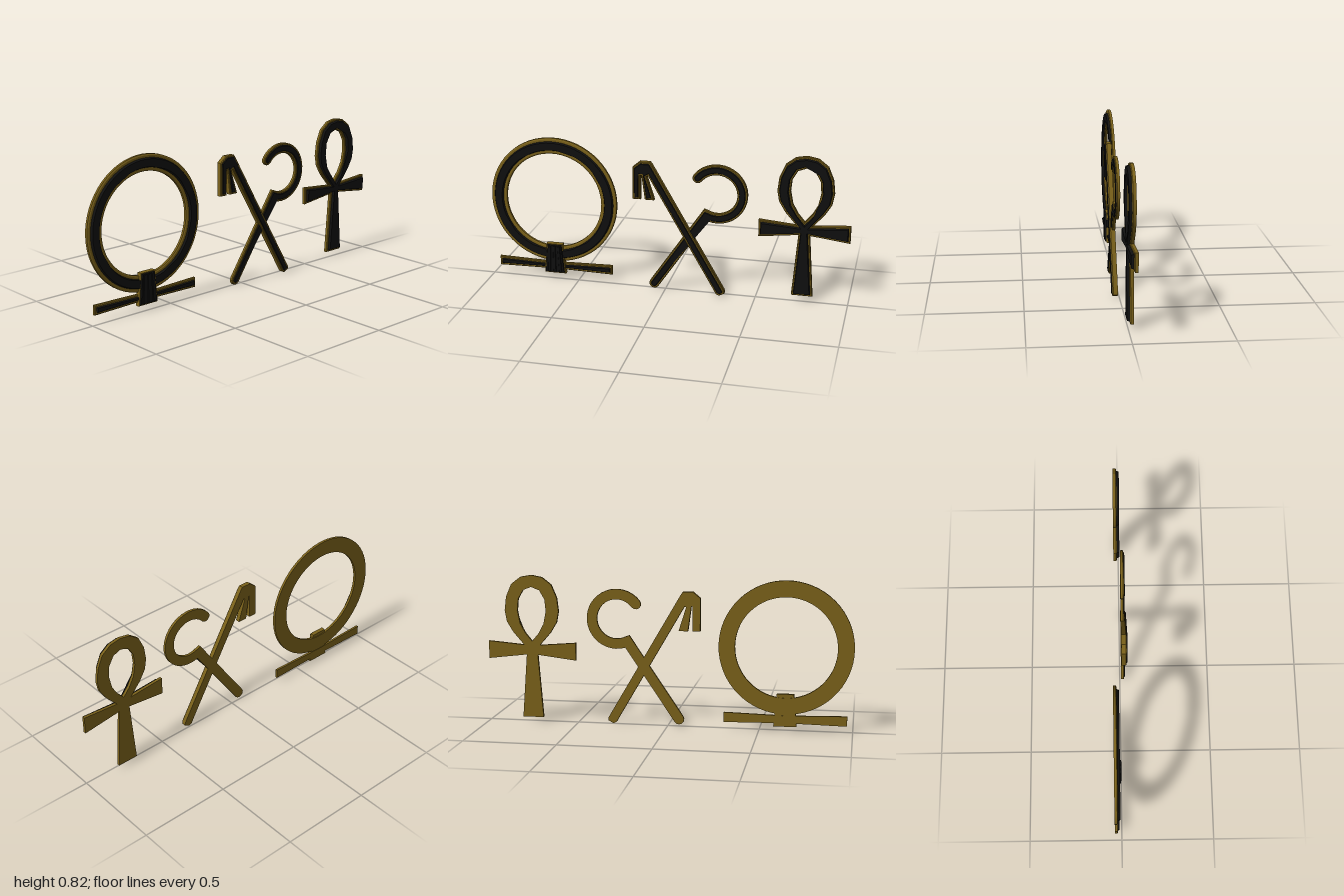
import * as THREE from 'three';
import { toCreasedNormals } from 'three/addons/utils/BufferGeometryUtils.js';

const gold = new THREE.MeshStandardMaterial({ color: 0x7a611a });
const black = new THREE.MeshStandardMaterial({ color: 0x101010 });
const V = (x, y) => new THREE.Vector2(x, y);
const pts = (list) => list.map(([x, y]) => V(x, y));

// Move every edge of a closed outline to its left by d, with limited mitres
function inset(loop, d) {
  const n = loop.length;
  return loop.map((p, i) => {
    const a = p.clone().sub(loop[(i + n - 1) % n]).normalize();
    const b = loop[(i + 1) % n].clone().sub(p).normalize();
    const m = V(-a.y - b.y, a.x + b.x).normalize();
    const c = Math.max(0.5, -m.x * a.y + m.y * a.x);
    return p.clone().addScaledVector(m, d / c);
  });
}

// Solid through layers of [inset, z], back to front, with caps at both ends
function layered(outline, holes, layers) {
  const wind = (l, cw) => (THREE.ShapeUtils.isClockWise(l) === cw ? l : l.slice().reverse());
  const loops = [wind(outline, false), ...holes.map((h) => wind(h, true))];
  const faces = THREE.ShapeUtils.triangulateShape(loops[0].slice(), loops.slice(1));
  const count = loops.reduce((s, l) => s + l.length, 0);
  const pos = [], idx = [];
  layers.forEach(([d, z]) => loops.forEach((l) => inset(l, d).forEach((p) => pos.push(p.x, p.y, z))));
  const last = (layers.length - 1) * count;
  faces.forEach(([a, b, c]) => idx.push(c, b, a, last + a, last + b, last + c));
  for (let k = 0; k < layers.length - 1; k++) {
    let start = k * count;
    loops.forEach((l) => {
      l.forEach((_, i) => {
        const a = start + i, b = start + (i + 1) % l.length;
        idx.push(a, b, b + count, a, b + count, a + count);
      });
      start += l.length;
    });
  }
  const g = new THREE.BufferGeometry();
  g.setAttribute('position', new THREE.Float32BufferAttribute(pos, 3));
  g.setIndex(idx);
  return toCreasedNormals(g, 0.45);
}

// Gold plate with a raised, bevelled black inlay
function plate(name, outline, holes, { back, mid, front, rim = 0.01, slope = 0.005 }) {
  const group = new THREE.Group();
  group.name = name;
  const base = new THREE.Mesh(layered(outline, holes, [[0, back], [0, mid - 0.004], [rim * 0.4, mid]]), gold);
  base.name = name + 'Base';
  const inlay = new THREE.Mesh(layered(outline, holes, [[rim, mid - 0.001], [rim + slope, front]]), black);
  inlay.name = name + 'Inlay';
  group.add(base, inlay);
  return group;
}

const arc = (x, y, r, from, to, n) => Array.from({ length: n + 1 }, (_, i) => {
  const t = from + (to - from) * i / n;
  return V(x + r * Math.cos(t), y + r * Math.sin(t));
});

// Outline of an open path drawn with a round-ended stroke
function stroke(path, w) {
  const left = [], right = [];
  path.forEach((p, i) => {
    const a = p.clone().sub(path[Math.max(i - 1, 0)]).normalize();
    const b = path[Math.min(i + 1, path.length - 1)].clone().sub(p).normalize();
    const t = a.clone().add(b).normalize();
    const ref = a.lengthSq() ? a : b;
    const k = w / Math.max(0.6, t.dot(ref));
    left.push(V(p.x - t.y * k, p.y + t.x * k));
    right.push(V(p.x + t.y * k, p.y - t.x * k));
  });
  const cap = (p, q) => {
    const t = p.clone().sub(q).angle();
    return arc(p.x, p.y, w, t - Math.PI / 2, t + Math.PI / 2, 6).slice(1, -1);
  };
  const n = path.length;
  return [...right, ...cap(path[n - 1], path[n - 2]), ...left.reverse(), ...cap(path[0], path[1])];
}

const mirrored = (half, cx) => [
  ...half.map(([x, y]) => V(cx + x, y)),
  ...half.slice().reverse().filter(([x]) => x > 0).map(([x, y]) => V(cx - x, y)),
];

export function createModel() {
  const model = new THREE.Group();
  model.name = 'threeSymbols';

  // Ring standing on a bar, bound by a knot
  const cx = -0.64, circle = (r) => arc(cx, 0.456, r, 0, Math.PI * 2, 64).slice(0, -1);
  const ring = new THREE.Group();
  ring.name = 'ringSymbol';
  ring.add(plate('ring', circle(0.36), [circle(0.272)],
    { back: -0.038, mid: -0.02, front: -0.008, rim: 0.018, slope: 0.006 }));
  ring.add(plate('ringBar', mirrored([[0, 0.088], [0.33, 0.096], [0.33, 0.042], [0, 0.048]], cx), [],
    { back: -0.036, mid: -0.02, front: -0.012, rim: 0.011 }));
  ring.add(plate('knot', mirrored([[0.046, 0.205], [0.053, 0.13], [0.062, 0.028]], cx), [],
    { back: -0.034, mid: -0.008, front: -0.001, rim: 0.005, slope: 0.004 }));
  for (const s of [-1, 0, 1]) {
    const cord = new THREE.Mesh(layered(
      pts([[cx + s * 0.025 - 0.008, 0.195], [cx + s * 0.033 - 0.009, 0.038],
        [cx + s * 0.033 + 0.009, 0.038], [cx + s * 0.025 + 0.008, 0.195]]),
      [], [[0, -0.002], [0.003, 0.003]]), black);
    cord.name = 'knotCord';
    ring.add(cord);
  }
  model.add(ring);

  // Crook: straight staff turning into a round hook
  const deg = Math.PI / 180;
  const hook = arc(0.285, 0.582, 0.136, -116 * deg, 142 * deg, 28);
  model.add(plate('crook', stroke([V(-0.06, 0.036), ...hook], 0.028), [],
    { back: 0.007, mid: 0.025, front: 0.03 }));

  // Flail: staff crossing in front, with two hanging strands
  model.add(plate('flail', pts([
    [-0.175, 0.525], [-0.132, 0.525], [-0.132, 0.66], [-0.126, 0.66],
    [-0.108, 0.525], [-0.057, 0.525], [-0.098, 0.655], [-0.09, 0.66],
    [0.276, 0.03], [0.288, 0.008], [0.305, 0.001], [0.334, 0.016], [0.332, 0.034],
    [-0.07, 0.725], [-0.08, 0.738], [-0.135, 0.738], [-0.175, 0.705],
  ]), [], { back: 0.007, mid: 0.035, front: 0.04, rim: 0.009, slope: 0.004 }));

  // Looped cross with flared arms and stem
  model.add(plate('loopedCross', mirrored([
    [0, 0.817], [0.06, 0.806], [0.112, 0.766], [0.142, 0.695], [0.151, 0.62],
    [0.14, 0.56], [0.105, 0.502], [0.044, 0.432], [0.245, 0.449], [0.245, 0.352],
    [0.031, 0.378], [0.058, 0.028],
  ], 0.75), [mirrored([
    [0, 0.752], [0.045, 0.735], [0.074, 0.685], [0.08, 0.62], [0.066, 0.55],
    [0.037, 0.497], [0, 0.453],
  ], 0.75)], { back: -0.028, mid: -0.008, front: 0.006 }));

  return model;
}
